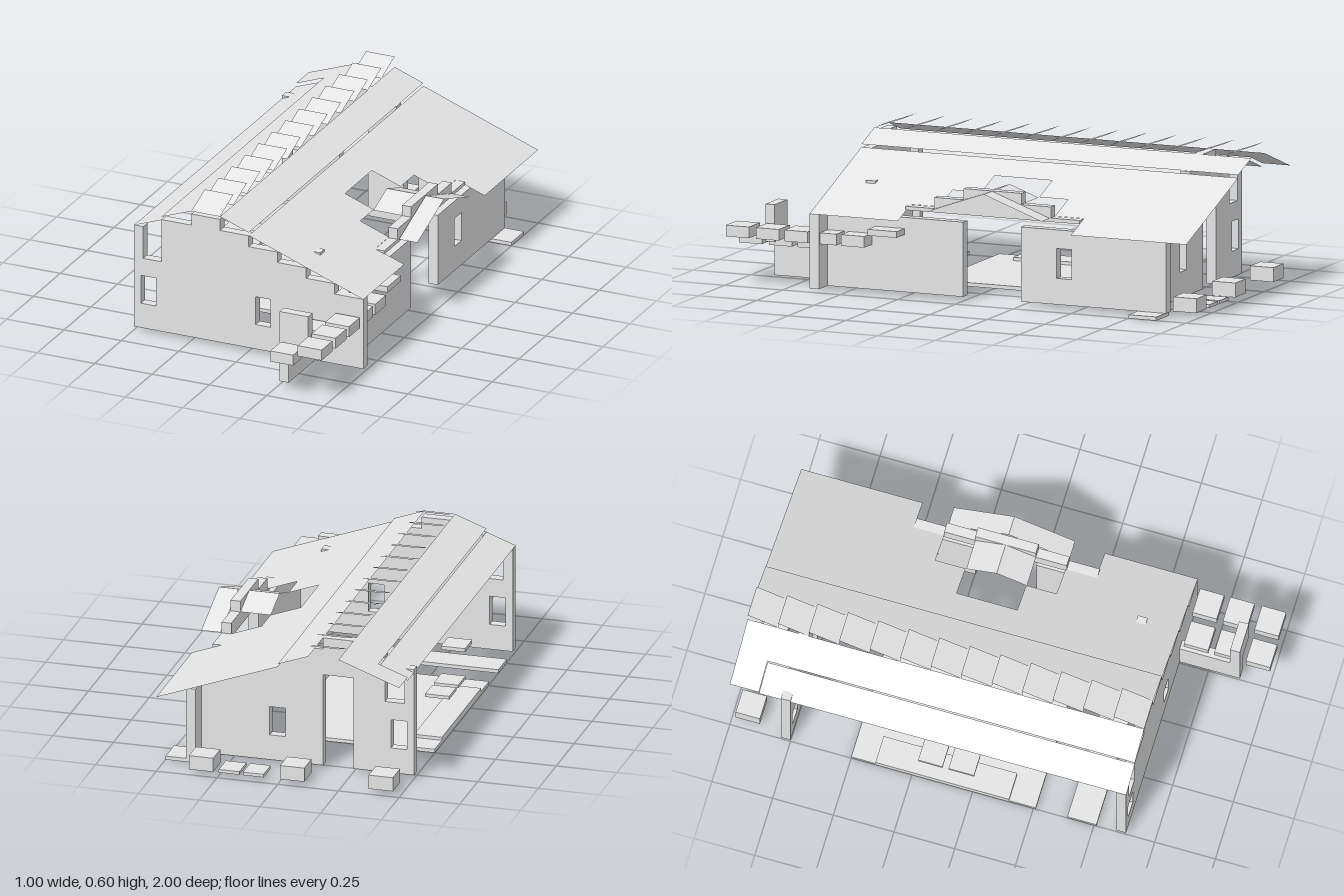
import * as THREE from 'three';

export function createModel() {
  const root = new THREE.Group();
  root.name = 'house';
  const stone = new THREE.MeshStandardMaterial({ color: 0xe4e4e4, side: THREE.DoubleSide });
  stone.name = 'pale grey';

  const add = (name, geo) => {
    const m = new THREE.Mesh(geo, stone);
    m.name = name;
    root.add(m);
    return m;
  };
  // box given by its limits on each axis
  const box = (name, x0, x1, y0, y1, z0, z1) => add(name,
    new THREE.BoxGeometry(x1 - x0, y1 - y0, z1 - z0)
      .translate((x0 + x1) / 2, (y0 + y1) / 2, (z0 + z1) / 2));
  const outline = pts => new THREE.Shape(pts.map(p => new THREE.Vector2(p[0], p[1])));
  // upright wall with rectangular windows [u0, u1, v0, v1]
  const wall = (name, pts, windows) => {
    const s = outline(pts);
    for (const [a, b, c, d] of windows) {
      s.holes.push(new THREE.Path([[a, c], [a, d], [b, d], [b, c]].map(p => new THREE.Vector2(...p))));
    }
    return add(name, new THREE.ExtrudeGeometry(s, { depth: 0.04, bevelEnabled: false }));
  };
  // thin sheet drawn in plan (x, z) and lifted by a height rule
  const sheet = (name, pts, height) => {
    const g = new THREE.ShapeGeometry(outline(pts.map(([x, z]) => [x, -z]))).rotateX(-Math.PI / 2);
    const p = g.attributes.position;
    for (let i = 0; i < p.count; i++) p.setY(i, height(p.getX(i), p.getZ(i)));
    g.computeVertexNormals();
    return add(name, g);
  };
  const rect = (x0, x1, z0, z1) => [[x0, z0], [x0, z1], [x1, z1], [x1, z0]];

  // gable end walls with stepped tops; lift raises the steps beside the ridge
  const steps = lift => [[0.25, 0.36], [0.25, 0.405], [0.125, 0.405], [0.125, 0.45], [0, 0.45],
    [0, 0.497 + lift], [-0.125, 0.497 + lift], [-0.125, 0.545 + lift], [-0.25, 0.545 + lift],
    [-0.25, 0.497 + lift], [-0.38, 0.497 + lift], [-0.38, 0.315], [-0.46, 0.315],
    [-0.46, 0.452 + lift], [-0.5, 0.452 + lift]];
  const windows = [[-0.47, -0.405, 0.12, 0.24], [0.03, 0.095, 0.12, 0.24]];
  wall('frontWall', [[-0.5, 0.015], [0.5, 0.015], [0.5, 0.315], [0.375, 0.315], [0.375, 0.36],
    ...steps(0)], windows).position.z = 0.592;
  wall('backWall', [[-0.5, 0.015], [-0.25, 0.015], [-0.25, 0.4], [-0.125, 0.4], [-0.125, 0.015],
    [0.375, 0.015], [0.375, 0.36], ...steps(0.012)], windows).position.z = -0.79;

  // side wall in two lengths with an entrance gap between them
  box('sideWallFront', 0.375, 0.415, 0.015, 0.315, 0.005, 0.592);
  const side = wall('sideWallBack', [[0.245, 0.015], [0.875, 0.015], [0.875, 0.315], [0.245, 0.315]],
    [[0.4, 0.465, 0.12, 0.24]]);
  side.rotation.y = Math.PI / 2;
  side.position.x = 0.375;

  // main roof slopes, with a stepped cut-out for the dormer
  const slope = 0.368;
  const front = 0.633;
  sheet('mainRoof', [[0, -1], [0, front], [0.5, front], [0.5, 0.25], [0.375, 0.25], [0.375, 0.125],
    [0.25, 0.125], [0.25, 0], [0.125, 0], [0.125, -0.25], [0.25, -0.25], [0.25, -0.375],
    [0.375, -0.375], [0.375, -0.5], [0.5, -0.5], [0.5, -1]], x => 0.499 - slope * x);
  sheet('upperRoofRight', rect(-0.125, 0, -1, front), x => 0.557 - slope * (x + 0.125));
  const upperLeft = x => 0.557 + slope * (x + 0.25);
  sheet('upperRoofLeft', rect(-0.38, -0.25, -1, front), upperLeft);
  sheet('cornerRoofLeft', rect(-0.5, -0.38, -1, -0.88), upperLeft);
  sheet('lowerRoofLeft', rect(-0.5, -0.38, -0.88, front), x => upperLeft(x) - 0.014);

  // overlapping ridge tiles, each rising toward the back
  for (let i = 0; i < 13; i++) {
    const z0 = -1 + i * 0.1256, z1 = z0 + 0.1256;
    sheet('ridgeTile', rect(-0.25, -0.125, z0, z1), (x, z) => 0.557 + 0.045 * (z1 - z) / 0.1256);
  }

  // dormer: stepped gable wall and two pitched roofs
  box('dormerWallLow', 0.375, 0.415, 0.345, 0.36, -0.5, 0.255);
  box('dormerWallMiddle', 0.375, 0.415, 0.36, 0.405, -0.375, 0.13);
  box('dormerWallTop', 0.375, 0.415, 0.405, 0.45, -0.247, 0.003);
  for (const [x0, x1, half] of [[0.25, 0.415, 0.125], [0.42, 0.5, 0.25]]) {
    for (const s of [-1, 1]) {
      const a = -0.122, b = a + s * half;
      sheet('dormerRoof', rect(x0, x1, Math.min(a, b), Math.max(a, b)),
        (x, z) => 0.45 - 0.36 * Math.abs(z - a));
    }
  }
  box('roofChip', 0.21, 0.25, 0.405, 0.418, 0.46, 0.5);

  // floor slabs
  box('floor', -0.5, 0.125, 0, 0.015, -0.5, 0.26);
  box('frontPlank', -0.5, 0, 0, 0.015, 0.39, 0.51);
  box('backCornerSlab', 0.375, 0.5, 0, 0.015, -0.87, -0.75);
  box('floorStrip', -0.5, -0.385, 0.015, 0.028, -0.4, 0.15);
  box('shelf', -0.48, -0.38, 0.122, 0.135, -0.105, 0);
  box('shelf', -0.48, -0.38, 0.122, 0.135, -0.23, -0.13);
  box('shelf', -0.36, -0.26, 0.07, 0.085, 0.4, 0.5);

  // porch rail, post and two rows of blocks
  box('porchRail', 0.25, 0.29, 0.015, 0.165, 0.632, 0.88);
  box('porchPost', 0.25, 0.375, 0.165, 0.315, 0.84, 0.88);
  for (const z of [0.645, 0.77, 0.9]) box('lowBlock', 0.265, 0.365, 0.15, 0.195, z, z + 0.1);
  for (const z of [0.4, 0.52, 0.645, 0.77, 0.9]) box('highBlock', 0.385, 0.49, 0.195, 0.24, z, z + 0.1);
  box('sideLedge', 0.385, 0.49, 0.245, 0.27, 0.26, 0.385);

  // blocks along the back
  for (const [x, w, y1] of [[0.32, 0.1, 0.075], [0.205, 0.085, 0.03], [0.105, 0.085, 0.03],
    [-0.055, 0.1, 0.075], [-0.42, 0.1, 0.075]]) {
    box('backBlock', x - w / 2, x + w / 2, 0.017, y1, -0.985, -0.885);
  }
  return root;
}
